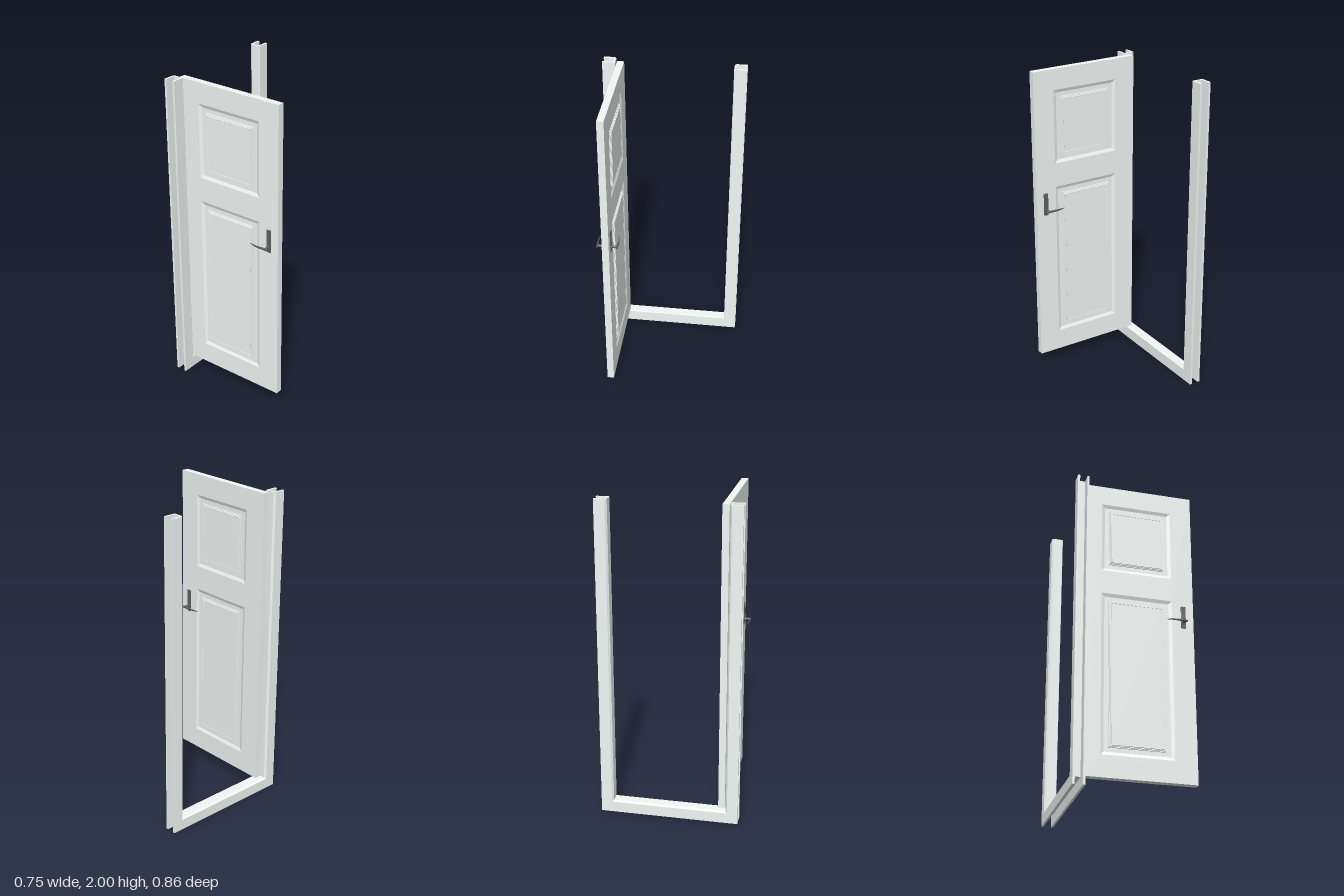
import * as THREE from 'three';

const paint = new THREE.MeshStandardMaterial({ color: 0xf2f8f6, side: THREE.DoubleSide });
const metal = new THREE.MeshStandardMaterial({ color: 0x606060, side: THREE.DoubleSide });

function add(parent, name, geometry, material, x = 0, y = 0, z = 0) {
  const mesh = new THREE.Mesh(geometry, material);
  mesh.name = name;
  mesh.position.set(x, y, z);
  parent.add(mesh);
  return mesh;
}

// Skins a list of equal-length point loops; optionally closes the first loop
function loft(loops, flat, capTriangles, capStart = true) {
  const n = loops[0].length;
  const index = [];
  for (let i = 0; i < loops.length - 1; i++) {
    for (let j = 0; j < n; j++) {
      const a = i * n + j, b = i * n + (j + 1) % n;
      index.push(a, b, b + n, a, b + n, a + n);
    }
  }
  const last = (loops.length - 1) * n;
  for (const [a, b, c] of capTriangles) {
    if (capStart) index.push(c, b, a);
    index.push(a + last, b + last, c + last);
  }
  let geometry = new THREE.BufferGeometry();
  geometry.setAttribute('position', new THREE.Float32BufferAttribute(loops.flat(2), 3));
  geometry.setIndex(index);
  if (flat) geometry = geometry.toNonIndexed();
  geometry.computeVertexNormals();
  return geometry;
}

const fan = n => Array.from({ length: n - 2 }, (_, i) => [0, i + 1, i + 2]);

// Open-backed channel, mitred around the two posts and the sill
function frameGeometry() {
  const profile = [
    [-0.376, 0], [-0.362, 0], [-0.362, 0.064], [-0.316, 0.064], [-0.316, 0], [-0.302, 0],
    [-0.302, 0.074], [-0.305, 0.0775], [-0.364, 0.0775], [-0.376, 0.067],
  ];
  const stations = [[1, true], [1, false], [-1, false], [-1, true]];
  const loops = stations.map(([side, top]) =>
    profile.map(([x, d]) => [x, top ? 2 : d, side * (0.432 - d)]));
  const caps = THREE.ShapeUtils.triangulateShape(profile.map(p => new THREE.Vector2(...p)), []);
  return loft(loops, true, caps);
}

const DOOR = { x0: -0.337, x1: 0.376, y0: 0.08, y1: 1.995, z: 0.325, half: 0.021 };
const PANELS = [
  { name: 'upperPanel', x0: -0.2, x1: 0.24, y0: 1.395, y1: 1.865 },
  { name: 'lowerPanel', x0: -0.2, x1: 0.24, y0: 0.215, y1: 1.24 },
];

const corners = (r, d = 0) => [
  [r.x0 + d, r.y0 + d], [r.x1 - d, r.y0 + d], [r.x1 - d, r.y1 - d], [r.x0 + d, r.y1 - d],
];

function slabGeometry() {
  const path = r => corners(r).map(p => new THREE.Vector2(...p));
  const shape = new THREE.Shape(path(DOOR));
  for (const panel of PANELS) shape.holes.push(new THREE.Path(path(panel).reverse()));
  return new THREE.ExtrudeGeometry(shape, { depth: DOOR.half * 2, bevelEnabled: false });
}

// Moulded panel with a stepped inner bead: [inset from opening, height above the door face]
function panelGeometry(r) {
  const steps = [
    [0, 0], [0.02, -0.008], [0.047, -0.008], [0.048, -0.004], [0.053, -0.004],
    [0.054, 0], [0.059, 0], [0.06, 0.004], [0.065, 0.004], [0.066, 0.003],
  ];
  const loops = steps.map(([d, h]) => corners(r, d).map(([x, y]) => [x, y, DOOR.half + h]));
  return loft(loops, true, fan(4), false);
}

// Curved lever tapering to its tip: [x, z, half depth, half height]
function leverGeometry() {
  const sections = [
    [0.199, 0.052, 0.0008, 0.002], [0.215, 0.0565, 0.002, 0.004], [0.24, 0.0605, 0.003, 0.0055],
    [0.265, 0.062, 0.004, 0.0065], [0.29, 0.061, 0.0055, 0.007], [0.31, 0.0595, 0.0065, 0.008],
    [0.324, 0.059, 0.0065, 0.008], [0.328, 0.059, 0.004, 0.005],
  ];
  const n = 14;
  const loops = sections.map(([x, z, rz, ry]) => Array.from({ length: n }, (_, i) => {
    const a = i / n * Math.PI * 2;
    return [x, 1.1 + Math.cos(a) * ry, z + Math.sin(a) * rz];
  }));
  return loft(loops, false, fan(n));
}

function plateGeometry() {
  const w = 0.015, y0 = 1.064, y1 = 1.211, r = 0.006;
  const s = new THREE.Shape();
  s.moveTo(-w + r, y0);
  s.lineTo(w - r, y0);
  s.quadraticCurveTo(w, y0, w, y0 + r);
  s.lineTo(w, y1 - r);
  s.quadraticCurveTo(w, y1, w - r, y1);
  s.lineTo(-w + r, y1);
  s.quadraticCurveTo(-w, y1, -w, y1 - r);
  s.lineTo(-w, y0 + r);
  s.quadraticCurveTo(-w, y0, -w + r, y0);
  return new THREE.ExtrudeGeometry(s, {
    depth: 0.003, bevelThickness: 0.002, bevelSize: 0.002, bevelOffset: -0.002, bevelSegments: 2,
  });
}

function createHandle() {
  const handle = new THREE.Group();
  handle.name = 'handle';
  const x = 0.312;
  const disc = (name, radius, from, to, y) =>
    add(handle, name, new THREE.CylinderGeometry(radius, radius, to - from, 20), metal,
      x, y, (from + to) / 2).rotation.x = Math.PI / 2;
  add(handle, 'backPlate', plateGeometry(), metal, x, 0, DOOR.half);
  disc('collar', 0.012, 0.024, 0.032, 1.1);
  disc('spindle', 0.008, 0.024, 0.062, 1.1);
  for (const y of [1.075, 1.198]) disc('screw', 0.004, 0.024, 0.0272, y);
  add(handle, 'lever', leverGeometry(), metal);
  return handle;
}

// Mirrors a geometry through the door plane, keeping faces outward
function mirrorZ(geometry) {
  const g = geometry.index ? geometry.toNonIndexed() : geometry.clone();
  for (const { itemSize: size, count, array: a } of Object.values(g.attributes)) {
    for (let i = 0; i < count; i += 3) {
      for (let k = 0; k < size; k++) {
        const p = (i + 1) * size + k, q = (i + 2) * size + k;
        [a[p], a[q]] = [a[q], a[p]];
      }
    }
    if (size === 3) for (let i = 2; i < a.length; i += 3) a[i] *= -1;
  }
  return g;
}

export function createModel() {
  const model = new THREE.Group();
  model.name = 'doorWithFrame';
  add(model, 'frame', frameGeometry(), paint);

  // Door leaf standing open at a right angle to the frame
  const door = new THREE.Group();
  door.name = 'door';
  door.position.z = DOOR.z;
  model.add(door);
  add(door, 'doorSlab', slabGeometry(), paint, 0, 0, -DOOR.half);

  // Panels and handle on both faces
  for (const face of ['front', 'back']) {
    const group = new THREE.Group();
    group.name = face + 'Face';
    for (const panel of PANELS) add(group, panel.name, panelGeometry(panel), paint);
    group.add(createHandle());
    if (face === 'back') {
      group.traverse(part => {
        if (!part.isMesh) return;
        part.updateMatrix();
        part.geometry.applyMatrix4(part.matrix);
        part.position.set(0, 0, 0);
        part.rotation.set(0, 0, 0);
        part.geometry = mirrorZ(part.geometry);
      });
    }
    door.add(group);
  }
  return model;
}
